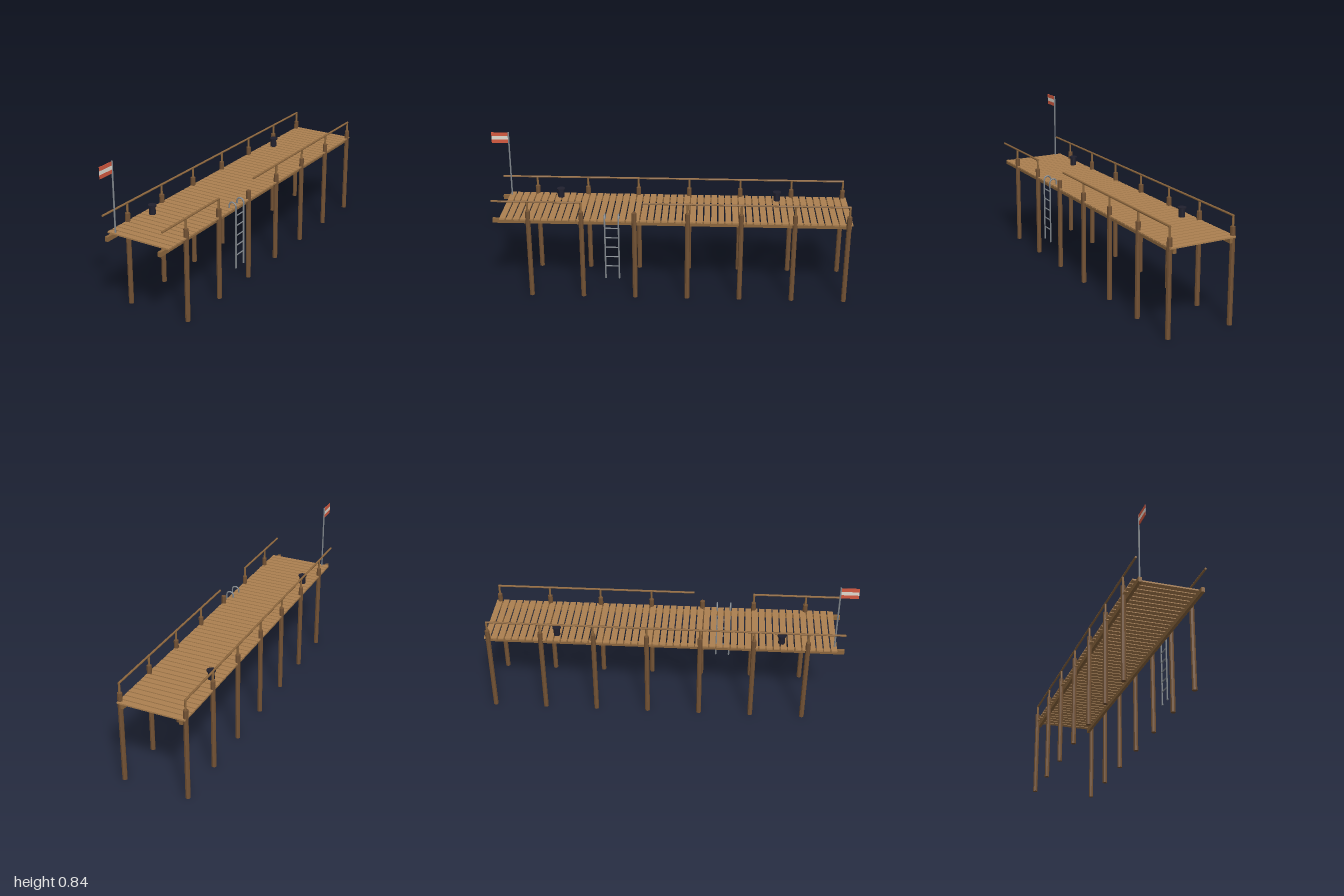
import * as THREE from 'three';

const mat = (name, color, extra = {}) => {
  const m = new THREE.MeshStandardMaterial({ color, ...extra });
  m.name = name;
  return m;
};

export function createModel() {
  const pier = new THREE.Group();
  pier.name = 'pier';

  const pileWood = mat('pileWood', 0x735234, { flatShading: true });
  const plankWood = mat('plankWood', 0xac8050);
  const beamWood = mat('beamWood', 0x8c663d, { flatShading: true });
  const steel = mat('steel', 0x82888e);
  const iron = mat('iron', 0x20202e, { flatShading: true });
  const flagRed = mat('flagRed', 0xd65a40);
  const flagPale = mat('flagPale', 0xe2dcd2);

  const add = (name, geometry, material, x, y, z, parent = pier) => {
    const mesh = new THREE.Mesh(geometry, material);
    mesh.name = name;
    mesh.position.set(x, y, z);
    parent.add(mesh);
    return mesh;
  };
  const upright = (name, r, y0, y1, x, z, material, sides = 8, parent = pier) =>
    add(name, new THREE.CylinderGeometry(r, r, y1 - y0, sides), material, x, (y0 + y1) / 2, z, parent);

  // Piles, with a railing post on each except beside the ladder opening
  const leftX = 0.173, rightX = -0.187;
  const pileZ = [0.76, 0.47, 0.181, -0.108, -0.398, -0.687, -0.976];
  for (const x of [leftX, rightX]) {
    pileZ.forEach((z, i) => {
      upright('pile', 0.0135, 0, 0.512, x, z, pileWood);
      if (x === rightX || i !== 2) upright('railPost', 0.006, 0.51, 0.567, x, z, beamWood);
    });
  }

  // Handrails, open at the ladder
  const rail = (x, z0, z1) => {
    const mesh = add('handrail', new THREE.CylinderGeometry(0.0058, 0.0058, z1 - z0, 8),
      beamWood, x, 0.567, (z0 + z1) / 2);
    mesh.rotation.x = Math.PI / 2;
  };
  rail(rightX, -0.98, 0.955);
  rail(leftX, -0.98, 0.135);
  rail(leftX, 0.466, 0.955);

  // Long beams under the deck
  for (const x of [0.154, -0.168]) {
    add('stringer', new THREE.BoxGeometry(0.017, 0.025, 1.95), beamWood, x, 0.4465, -0.018);
  }

  // Deck planks
  const count = 50, pitch = 1.92 / count;
  const plankGeo = new THREE.BoxGeometry(0.374, 0.008, pitch - 0.007);
  for (let i = 0; i < count; i++) {
    add('plank', plankGeo, plankWood, -0.006, 0.4635, -1.0 + pitch * (i + 0.5));
  }

  // Mooring bollards
  const bollardGeo = new THREE.LatheGeometry([
    [0, 0.466], [0.0185, 0.466], [0.0165, 0.511], [0.0235, 0.511], [0.0235, 0.519], [0, 0.519],
  ].map(([r, y]) => new THREE.Vector2(r, y)), 10);
  for (const z of [0.62, -0.603]) add('bollard', bollardGeo, iron, -0.136, 0, z);

  // Flagpole and striped flag
  const flagX = -0.152, poleZ = 0.904;
  upright('flagpole', 0.0045, 0.46, 0.845, flagX, poleZ, steel);
  const stripe = 0.0205;
  [flagRed, flagPale, flagRed].forEach((m, i) => {
    add('flagStripe', new THREE.BoxGeometry(0.003, stripe, 0.096), m,
      flagX, 0.843 - stripe * (i + 0.5), 0.952);
  });

  // Ladder with hooped handles
  const ladder = new THREE.Group();
  ladder.name = 'ladder';
  pier.add(ladder);
  const z0 = 0.265, z1 = 0.34, hoopR = 0.0205, hoopX = 0.1735, hoopY = 0.48;
  for (const z of [z0, z1]) {
    upright('ladderRail', 0.0045, 0.125, hoopY, hoopX + hoopR, z, steel, 8, ladder);
    upright('ladderFoot', 0.0045, 0.462, hoopY, hoopX - hoopR, z, steel, 8, ladder);
    add('ladderHoop', new THREE.TorusGeometry(hoopR, 0.0045, 8, 14, Math.PI), steel, hoopX, hoopY, z, ladder);
  }
  for (let i = 0; i < 5; i++) {
    const rung = add('rung', new THREE.CylinderGeometry(0.0035, 0.0035, z1 - z0, 8), steel,
      hoopX + hoopR, 0.2 + i * 0.057, (z0 + z1) / 2, ladder);
    rung.rotation.x = Math.PI / 2;
  }

  return pier;
}
